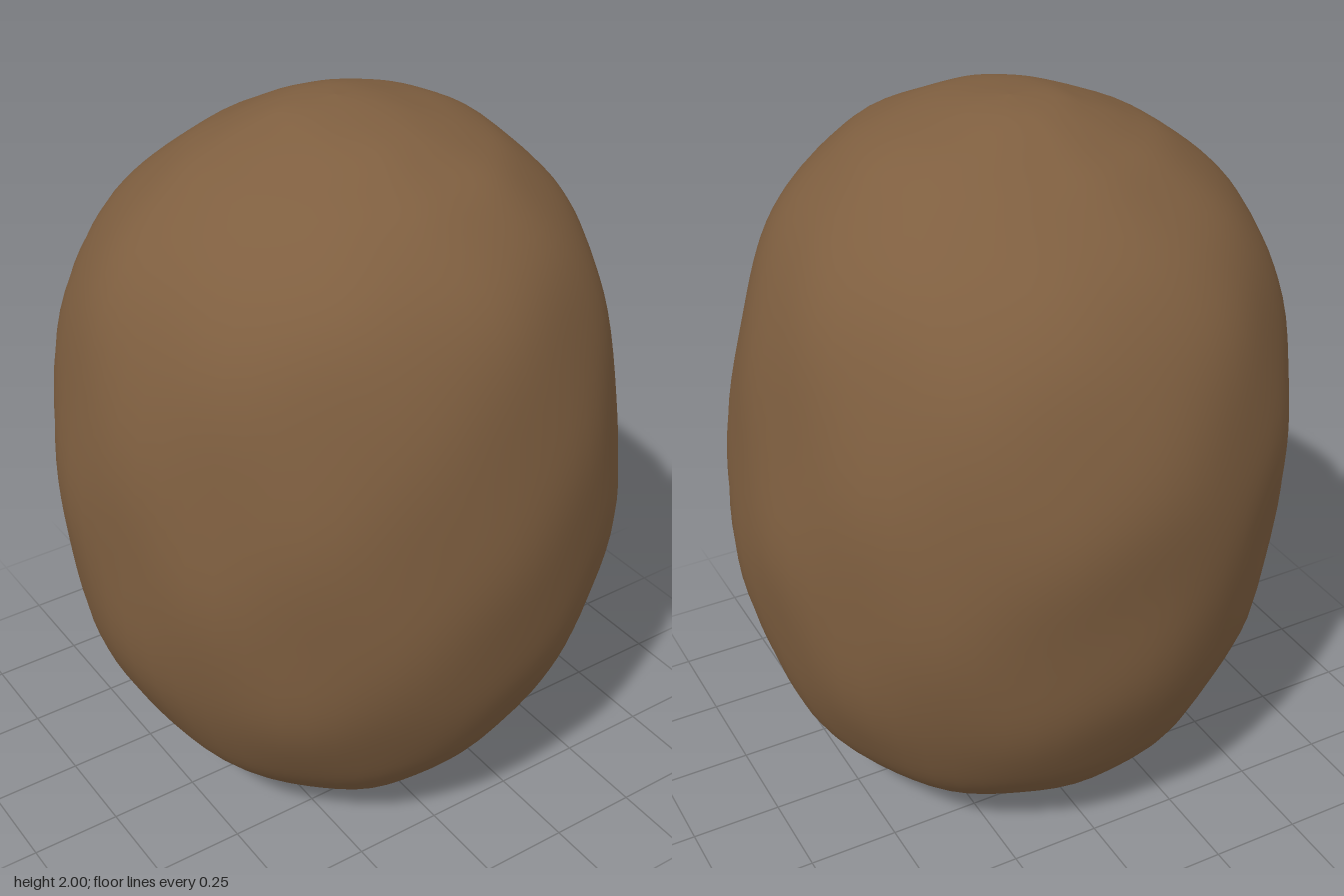
import * as THREE from 'three';

// Outline rows: height, then reach towards +x, +z, -x, -z
const SKIN = [
  [0.004, 0.21, 0.21, 0.21, 0.21], [0.04, 0.29, 0.27, 0.27, 0.28],
  [0.1, 0.42, 0.41, 0.38, 0.39], [0.2, 0.54, 0.51, 0.5, 0.5],
  [0.35, 0.645, 0.61, 0.61, 0.6], [0.6, 0.73, 0.71, 0.72, 0.7],
  [0.9, 0.765, 0.755, 0.76, 0.745], [1.2, 0.735, 0.75, 0.755, 0.76],
  [1.5, 0.67, 0.7, 0.7, 0.69], [1.7, 0.58, 0.62, 0.6, 0.57],
  [1.85, 0.44, 0.48, 0.44, 0.39], [1.92, 0.33, 0.35, 0.31, 0.27],
  [1.965, 0.19, 0.24, 0.2, 0.18], [1.99, 0.09, 0.09, 0.12, 0.1],
  [2.0, 0, 0, 0, 0],
];
// Hollow in the base, from its centre out to the rim
const SCAR = [
  [0.045, 0, 0, 0, 0], [0.04, 0.06, 0.06, 0.06, 0.06],
  [0.055, 0.13, 0.13, 0.13, 0.13], [0.045, 0.17, 0.17, 0.17, 0.17],
  [0.012, 0.19, 0.19, 0.19, 0.19], [0.004, 0.21, 0.21, 0.21, 0.21],
];
const SIDES = 64;

// Slight unevenness around and along the fruit
const bump = (a, y) =>
  0.005 * Math.sin(5 * a + 4 * y) * Math.sin(7 * y + 2 * a) +
  0.003 * Math.sin(11 * a - 9 * y);

// Skins closed loops around a smoothed outline
function loft(rows, steps, ragged) {
  const curves = [1, 2, 3, 4].map((k) => new THREE.CatmullRomCurve3(
    rows.map((r) => new THREE.Vector3(r[k], r[0], 0)), false, 'catmullrom', 0.5));
  const positions = [], index = [];
  for (let i = 0; i <= steps; i++) {
    const p = curves.map((c) => c.getPoint(i / steps));
    const y = p[0].y;
    for (let j = 0; j < SIDES; j++) {
      const a = (j / SIDES) * Math.PI * 2;
      const c = Math.cos(a), s = Math.sin(a);
      const rx = Math.max(0, p[c >= 0 ? 0 : 2].x);
      const rz = Math.max(0, p[s >= 0 ? 1 : 3].x);
      // The back corners are a little fuller on one side than the other
      const diag = s < 0 ? (c > 0 ? 0.03 : -0.025) : 0.005;
      const full = 1 + diag * Math.sin(2 * a) ** 2 * Math.min(1, y * 2);
      const k = full * (1 + bump(a, y) * 1.5);
      const rough = ragged * Math.sin(9 * a + 1) * Math.sin(4 * a + i) * Math.sin(Math.PI * i / steps);
      positions.push(c * rx * k, Math.max(0, y + rough), s * rz * k);
    }
  }
  for (let i = 0; i < steps; i++) {
    for (let j = 0; j < SIDES; j++) {
      const n = (j + 1) % SIDES;
      const a = i * SIDES + j, b = i * SIDES + n;
      const c = a + SIDES, d = b + SIDES;
      index.push(a, c, b, b, c, d);
    }
  }
  const g = new THREE.BufferGeometry();
  g.setAttribute('position', new THREE.Float32BufferAttribute(positions, 3));
  g.setIndex(index);
  g.computeVertexNormals();
  return g;
}

export function createModel() {
  const group = new THREE.Group();
  group.name = 'kiwifruit';
  const brown = new THREE.MeshStandardMaterial({ color: 0x7f5f40 });
  brown.name = 'fuzzyBrown';

  const add = (name, geometry) => {
    const mesh = new THREE.Mesh(geometry, brown);
    mesh.name = name;
    group.add(mesh);
    return mesh;
  };

  add('skin', loft(SKIN, 70, 0));
  add('stemHollow', loft(SCAR, 15, 0.008));

  // Dried, torn collar around the hollow
  const collar = new THREE.TorusGeometry(0.215, 0.016, 6, 48);
  collar.rotateX(Math.PI / 2);
  const pos = collar.attributes.position;
  for (let i = 0; i < pos.count; i++) {
    const a = Math.atan2(pos.getZ(i), pos.getX(i));
    const k = 1 + 0.07 * Math.sin(7 * a) * Math.sin(3 * a + 1);
    pos.setXYZ(i, pos.getX(i) * k, pos.getY(i) * (0.8 + 0.2 * Math.sin(5 * a)), pos.getZ(i) * k);
  }
  collar.computeVertexNormals();
  add('driedCollar', collar).position.y = 0.016;

  return group;
}
